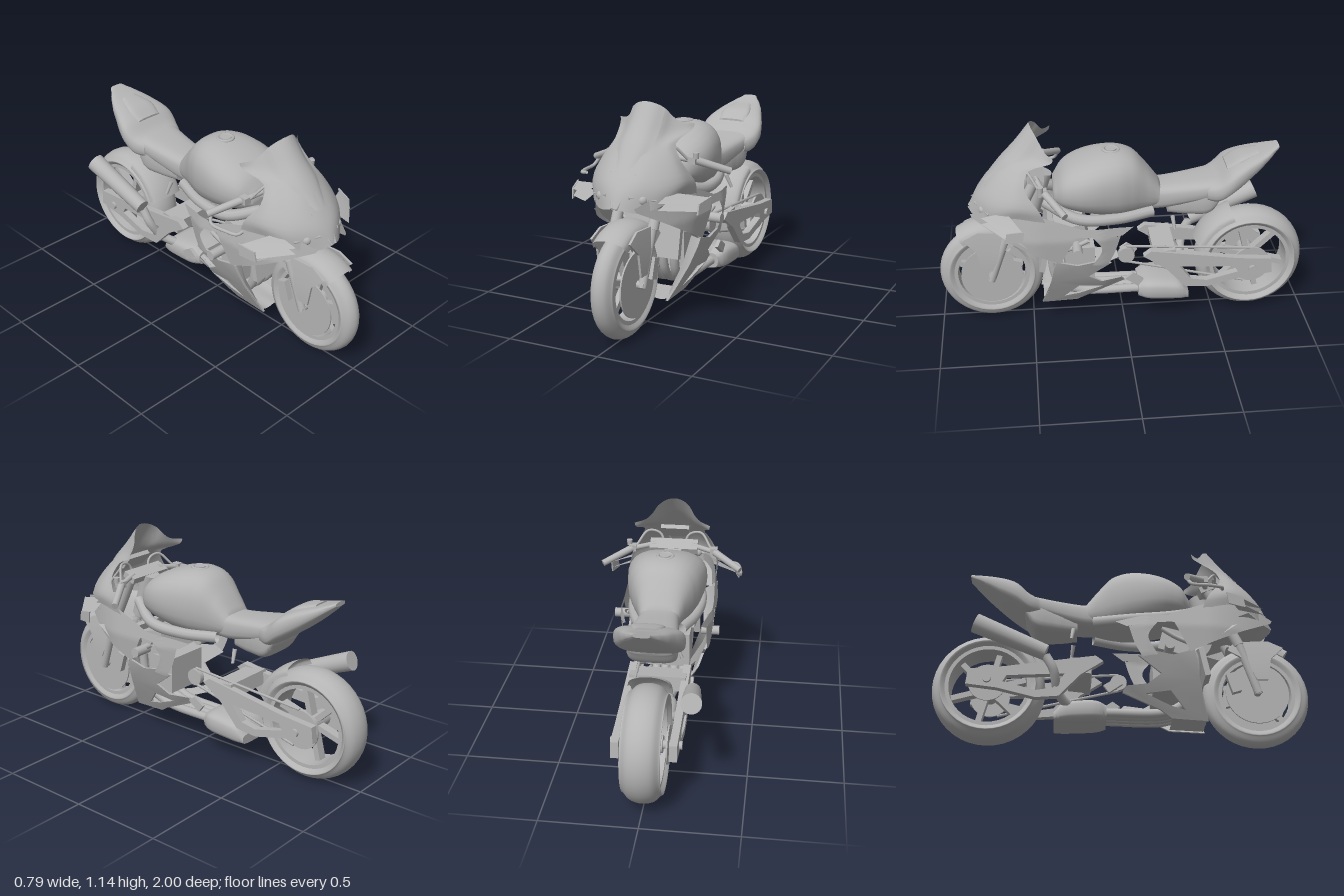
import * as THREE from 'three';
import { toCreasedNormals } from 'three/addons/utils/BufferGeometryUtils.js';

const V = (p) => new THREE.Vector3(...p);
const spline = (pts, n) => new THREE.CatmullRomCurve3(pts.map(V), false, 'centripetal').getPoints(n).map((p) => p.toArray());

// Surface through equal-length rows of points
function grid(rows, crease = 0.7) {
  const n = rows[0].length, idx = [];
  for (let i = 0; i < rows.length - 1; i++) for (let j = 0; j < n - 1; j++) {
    const a = i * n + j, c = a + n;
    idx.push(a, c, a + 1, a + 1, c, c + 1);
  }
  const g = new THREE.BufferGeometry();
  g.setAttribute('position', new THREE.Float32BufferAttribute(rows.flat(2), 3));
  g.setIndex(idx);
  return toCreasedNormals(g, crease);
}

// Closed body from sections [z, yBottom, yTop, halfWidth], listed front to back
function loft(sections, power = 0.75, n = 28) {
  const dense = spline(sections.map(([z, b, t]) => [z, b, t]), 28);
  const widths = spline(sections.map(([z, , , w]) => [z, w, 0]), 90);
  const widthAt = (z) => widths.reduce((m, p) => (Math.abs(p[0] - z) < Math.abs(m[0] - z) ? p : m))[1];
  const rows = dense.map(([z, b, t]) => Array.from({ length: n + 1 }, (_, k) => {
    const a = (k / n) * Math.PI * 2, c = Math.cos(a), s = Math.sin(a);
    return [widthAt(z) * Math.sign(c) * Math.abs(c) ** power, (b + t) / 2 + ((t - b) / 2) * Math.sign(s) * Math.abs(s) ** power, z];
  }));
  const cap = ([z, b, t]) => Array(n + 1).fill([0, (b + t) / 2, z]);
  return grid([cap(dense[0]), ...rows, cap(dense.at(-1))]);
}

// Surface symmetric about x = 0, from half rows running centre to side
function symmetric(half, nRow = 18, nCol = 20) {
  const full = half.map((r) => spline([...r.slice(1).reverse().map(([x, y, z]) => [-x, y, z]), ...r], nCol * 2));
  const cols = full[0].map((_, j) => spline(full.map((r) => r[j]), nRow));
  return grid(cols[0].map((_, i) => cols.map((c) => c[i])));
}

// Side plate with a [z, y] outline, bent to x = rule(y, z)
function plate(outline, rule, thick = 0.012, hole) {
  const pts = (o) => o.map(([z, y]) => new THREE.Vector2(-z, y));
  const shape = new THREE.Shape(pts(outline));
  if (hole) shape.holes.push(new THREE.Path(pts(hole)));
  const g = new THREE.ExtrudeGeometry(shape, { depth: thick, bevelEnabled: false });
  g.rotateY(Math.PI / 2);
  const p = g.attributes.position;
  for (let i = 0; i < p.count; i++) p.setX(i, p.getX(i) - thick + rule(p.getY(i), p.getZ(i)));
  return toCreasedNormals(g, 0.6);
}

function mirror(geo) {
  const g = geo.index ? geo.toNonIndexed() : geo.clone();
  for (const k of ['position', 'normal']) {
    const a = g.attributes[k], c = a.clone();
    for (let i = 0; i < a.count; i++) {
      const s = i % 3 === 0 ? i : i % 3 === 1 ? i + 1 : i - 1;
      a.setXYZ(i, -c.getX(s), c.getY(s), c.getZ(s));
    }
  }
  return g;
}

const tube = (pts, r, seg = 20) => new THREE.TubeGeometry(new THREE.CatmullRomCurve3(pts.map(V)), seg, r, 10);
const box = (w, h, d, x, y, z, rx = 0) => new THREE.BoxGeometry(w, h, d).rotateX(rx).translate(x, y, z);
const axle = (r, len, x, y, z, n = 28) => new THREE.CylinderGeometry(r, r, len, n).rotateZ(Math.PI / 2).translate(x, y, z);
// Cylinder between two points
function rod(a, b, r1, r2 = r1, n = 16) {
  const d = V(b).sub(V(a));
  const g = new THREE.CylinderGeometry(r2, r1, d.length(), n);
  g.applyQuaternion(new THREE.Quaternion().setFromUnitVectors(new THREE.Vector3(0, 1, 0), d.clone().normalize()));
  return g.translate(...V(a).addScaledVector(d, 0.5).toArray());
}

// Half width of the bodywork by height, narrowing toward the nose and the rear
function bodyX(y, z) {
  const t = [[0.08, 0.08], [0.2, 0.142], [0.3, 0.193], [0.42, 0.241], [0.58, 0.26], [0.68, 0.247], [0.8, 0.23]];
  const i = Math.max(1, t.findIndex(([h]) => h >= y));
  const k = (y - t[i - 1][0]) / (t[i][0] - t[i - 1][0]);
  const x = t[i - 1][1] + k * (t[i][1] - t[i - 1][1]);
  return x * (1 - 0.55 * (Math.max(0, z - 0.45) / 0.35) ** 1.5) - 0.3 * Math.max(0, 0.13 - z);
}

// Bodywork skin between an upper and a lower [z, y] edge
function skin(top, bottom, n = 20, m = 8) {
  const [a, b] = [top, bottom].map((e) => spline(e.map(([z, y]) => [z, y, 0]), n));
  return grid(Array.from({ length: m + 1 }, (_, i) => a.map(([z, y], j) => {
    const k = i / m, zz = z + (b[j][0] - z) * k, yy = y + (b[j][1] - y) * k;
    return [bodyX(yy, zz), yy, zz];
  })));
}

export function createModel() {
  const model = new THREE.Group();
  const grey = new THREE.MeshStandardMaterial({ color: 0xb4b4b4, side: THREE.DoubleSide });
  grey.name = 'plain grey';
  const add = (name, geo) => {
    const m = new THREE.Mesh(geo, grey);
    m.name = name;
    model.add(m);
  };
  const pair = (name, geo) => { add(name + 'Left', geo); add(name + 'Right', mirror(geo)); };

  // Wheels: tyre, rim, hub and spokes
  function wheel(name, y, z, r, inner, w) {
    const at = (g) => g.rotateZ(Math.PI / 2).translate(0, y, z);
    const prof = [[inner + 0.02, -w * 0.8], [inner + 0.045, -w], [r - 0.045, -w * 0.92], [r - 0.014, -w * 0.6], [r, 0]];
    const half = prof.concat(prof.slice(0, -1).reverse().map(([a, b]) => [a, -b]));
    const curve = spline(half.map(([a, b]) => [a, b, 0]), 28).map(([a, b]) => new THREE.Vector2(a, b));
    add(name + 'Tyre', at(new THREE.LatheGeometry(curve, 40)));
    const rw = w * 0.8;
    const rim = [[inner, -rw], [inner + 0.025, -rw], [inner + 0.025, rw], [inner, rw], [inner - 0.005, 0], [inner, -rw]];
    add(name + 'Rim', toCreasedNormals(at(new THREE.LatheGeometry(rim.map((p) => new THREE.Vector2(...p)), 40)), 0.6));
    add(name + 'Hub', axle(0.045, w * 1.7, 0, y, z));
    for (let i = 0; i < 6; i++) {
      const s = box(w * 0.5, inner, 0.03, 0, inner / 2 + 0.01, 0);
      add(name + 'Spoke', s.rotateX((i * Math.PI) / 3 + 0.25).translate(0, y, z));
    }
  }
  wheel('frontWheel', 0.283, 0.717, 0.283, 0.185, 0.06);
  wheel('rearWheel', 0.299, -0.701, 0.299, 0.205, 0.1);

  // Front brakes, fork and fender
  pair('brakeDisc', axle(0.168, 0.008, 0.065, 0.283, 0.717, 40));
  pair('brakeCaliper', box(0.035, 0.11, 0.05, 0.085, 0.33, 0.59, -0.3));
  pair('forkLower', rod([0.095, 0.27, 0.72], [0.105, 0.56, 0.62], 0.022));
  pair('forkUpper', rod([0.105, 0.54, 0.625], [0.105, 0.88, 0.46], 0.028));
  add('frontAxle', axle(0.02, 0.22, 0, 0.283, 0.717));
  const arcCover = (y, z, r, a0, a1, w, drop) => symmetric(Array.from({ length: 7 }, (_, i) => {
    const a = ((a0 + ((a1 - a0) * i) / 6) * Math.PI) / 180;
    return [[0, 0], [0.6, 0.15], [0.95, 0.5], [1, 1]].map(([u, d]) => [u * w, y + (r - d * drop) * Math.sin(a), z + (r - d * drop) * Math.cos(a)]);
  }), 14, 8);
  add('frontFender', arcCover(0.283, 0.717, 0.318, 118, 55, 0.09, 0.07));
  pair('fenderLeg', plate([[0.86, 0.53], [0.78, 0.57], [0.6, 0.56], [0.56, 0.51], [0.66, 0.45], [0.71, 0.34], [0.77, 0.34], [0.79, 0.46]],
    (y) => 0.12 - 0.15 * Math.max(0, y - 0.47)));

  // Nose fairing with a separate windscreen skin
  add('noseFairing', symmetric([
    [[0, 1.145, 0.48], [0.05, 1.135, 0.47], [0.09, 1.11, 0.45], [0.115, 1.075, 0.43], [0.15, 1.045, 0.41], [0.21, 1.035, 0.37]],
    [[0, 1.04, 0.56], [0.05, 1.035, 0.55], [0.09, 1.02, 0.52], [0.12, 1.005, 0.48], [0.17, 1.005, 0.42], [0.205, 1.01, 0.38]],
    [[0, 0.95, 0.64], [0.05, 0.95, 0.63], [0.09, 0.95, 0.6], [0.12, 0.95, 0.57], [0.15, 0.95, 0.54], [0.17, 0.95, 0.5]],
    [[0, 0.85, 0.72], [0.05, 0.855, 0.71], [0.1, 0.87, 0.68], [0.15, 0.88, 0.63], [0.195, 0.88, 0.57], [0.21, 0.87, 0.52]],
    [[0, 0.76, 0.785], [0.06, 0.77, 0.77], [0.12, 0.77, 0.74], [0.19, 0.77, 0.68], [0.245, 0.78, 0.58], [0.25, 0.76, 0.45]],
    [[0, 0.68, 0.82], [0.05, 0.67, 0.805], [0.11, 0.66, 0.765], [0.18, 0.68, 0.7], [0.23, 0.72, 0.6], [0.245, 0.69, 0.42]],
  ]));
  add('windscreen', symmetric([
    [[0, 1.145, 0.486], [0.05, 1.135, 0.476], [0.09, 1.11, 0.456]],
    [[0, 1.04, 0.567], [0.05, 1.035, 0.557], [0.095, 1.02, 0.524]],
    [[0, 0.95, 0.647], [0.05, 0.95, 0.637], [0.092, 0.95, 0.605]],
    [[0, 0.84, 0.735], [0.02, 0.842, 0.733], [0.04, 0.85, 0.722]],
  ], 12, 8));
  add('noseUnderside', symmetric([
    [[0, 0.68, 0.82], [0.11, 0.66, 0.765], [0.2, 0.69, 0.67]],
    [[0, 0.64, 0.7], [0.11, 0.64, 0.66], [0.21, 0.65, 0.58]],
    [[0, 0.62, 0.5], [0.11, 0.62, 0.5], [0.22, 0.62, 0.48]],
  ], 8, 8));
  pair('headlight', new THREE.SphereGeometry(0.026, 16, 12).translate(0.112, 0.718, 0.737));
  pair('headlightBrow', rod([0.06, 0.735, 0.78], [0.17, 0.715, 0.71], 0.008, 0.006, 8));
  pair('noseRib', rod([0.012, 0.68, 0.817], [0.065, 0.835, 0.717], 0.008, 0.006, 8));

  // Winglets with end plates
  const wing = (dy) => grid([[[0.2, 0.74 + dy, 0.62], [0.37, 0.715 + dy, 0.54]], [[0.2, 0.715 + dy, 0.75], [0.35, 0.695 + dy, 0.62]]]);
  pair('wingletUpper', wing(0));
  pair('wingletLower', wing(-0.035));
  pair('wingletEnd', plate([[0.53, 0.72], [0.62, 0.7], [0.63, 0.645], [0.54, 0.655]], (y, z) => 0.375 - (z - 0.54) * 0.25, 0.008));

  // Side fairings and lower fairings
  pair('sideFairing', skin([[0.81, 0.69], [0.68, 0.735], [0.55, 0.75], [0.38, 0.7], [0.24, 0.648]],
    [[0.8, 0.67], [0.7, 0.615], [0.58, 0.55], [0.46, 0.49], [0.35, 0.44]], 24, 10));
  pair('sideFairingTail', skin([[0.4, 0.7], [0.25, 0.648], [0.1, 0.64], [-0.04, 0.622]], [[0.4, 0.59], [0.27, 0.6], [0.15, 0.595], [0.02, 0.585]]));
  pair('fairingArm', skin([[0.18, 0.6], [0.13, 0.52], [0.18, 0.42]], [[0.03, 0.585], [0.06, 0.49], [0.1, 0.41]], 12, 4));
  pair('lowerFairing', plate([[0.37, 0.45], [0.385, 0.4], [0.4, 0.3], [0.42, 0.2], [0.45, 0.11], [0.26, 0.12], [0.2, 0.16], [0.0, 0.25], [0.02, 0.28], [0.13, 0.28],
    [0.2, 0.33], [0.08, 0.42], [0.16, 0.44], [0.26, 0.42]], bodyX, 0.014, [[0.25, 0.25], [0.12, 0.235], [0.25, 0.18], [0.33, 0.16]]));
  pair('fairingInnerEdge', grid([[[0.245, 0.6, 0.6], [0.175, 0.6, 0.48]], [[0.243, 0.44, 0.37], [0.185, 0.45, 0.36]],
    [[0.193, 0.3, 0.4], [0.135, 0.3, 0.35]], [[0.095, 0.11, 0.45], [0.06, 0.13, 0.36]]]));
  add('bellyPan', symmetric([[[0, 0.115, 0.44], [0.05, 0.11, 0.44], [0.09, 0.12, 0.44]], [[0, 0.12, 0.26], [0.06, 0.12, 0.26], [0.095, 0.13, 0.26]]], 4, 6));
  pair('fairingStrut', tube([[0.22, 0.5, 0.34], [0.225, 0.53, 0.27], [0.235, 0.57, 0.2]], 0.012));

  // Tank, seat and tail
  add('fuelTank', loft([[0.37, 0.72, 0.82, 0.11], [0.31, 0.69, 0.9, 0.18], [0.2, 0.66, 0.955, 0.215], [0.05, 0.63, 0.983, 0.2],
    [-0.05, 0.63, 0.96, 0.165], [-0.12, 0.64, 0.89, 0.13], [-0.2, 0.66, 0.785, 0.1]], 0.8));
  add('fuelCap', new THREE.TorusGeometry(0.04, 0.01, 8, 24).rotateX(Math.PI / 2 - 0.05).translate(0, 0.977, 0.06));
  add('fuelCapCentre', new THREE.CylinderGeometry(0.03, 0.03, 0.012, 20).translate(0, 0.98, 0.06));
  add('seat', loft([[-0.12, 0.65, 0.79, 0.1], [-0.2, 0.65, 0.785, 0.105], [-0.35, 0.68, 0.8, 0.12], [-0.5, 0.72, 0.82, 0.14]], 0.6));
  add('tail', loft([[-0.44, 0.7, 0.8, 0.135], [-0.5, 0.7, 0.825, 0.165], [-0.57, 0.745, 0.885, 0.178], [-0.66, 0.81, 0.925, 0.145],
    [-0.75, 0.885, 0.95, 0.1], [-0.83, 0.955, 0.978, 0.04]], 0.6));
  add('undertail', loft([[-0.24, 0.615, 0.74, 0.08], [-0.35, 0.61, 0.77, 0.11], [-0.46, 0.62, 0.8, 0.13], [-0.52, 0.7, 0.81, 0.12]], 0.5));
  add('pillionPad', loft([[-0.55, 0.83, 0.88, 0.08], [-0.62, 0.87, 0.925, 0.085], [-0.72, 0.9, 0.95, 0.055]], 0.6));

  // Handlebars and cockpit
  pair('grip', rod([0.235, 0.86, 0.42], [0.385, 0.8, 0.325], 0.02, 0.018));
  pair('clipOn', rod([0.1, 0.88, 0.46], [0.25, 0.855, 0.42], 0.014));
  pair('switchgear', box(0.04, 0.035, 0.045, 0.23, 0.862, 0.43));
  add('leverGuard', tube([[-0.36, 0.8, 0.33], [-0.385, 0.76, 0.35], [-0.38, 0.755, 0.45], [-0.36, 0.755, 0.51], [-0.33, 0.76, 0.515]], 0.009));
  add('fluidCup', new THREE.CylinderGeometry(0.016, 0.014, 0.03, 14).translate(0.25, 0.888, 0.44));
  pair('cable', tube([[0.21, 0.87, 0.45], [0.15, 0.94, 0.5], [0.08, 0.92, 0.51], [0.05, 0.8, 0.48]], 0.007));
  add('tripleClamp', box(0.27, 0.035, 0.08, 0, 0.87, 0.46, -0.4));
  add('dashboard', box(0.16, 0.09, 0.025, 0, 0.93, 0.54, -0.7));
  add('headstock', rod([0, 0.62, 0.5], [0, 0.87, 0.42], 0.05));

  // Engine, radiator and header pipes
  add('cylinderHead', box(0.3, 0.13, 0.16, 0, 0.54, 0.28, 0.25));
  add('crankcase', box(0.25, 0.2, 0.16, 0, 0.36, 0.24));
  add('radiator', box(0.32, 0.28, 0.03, 0, 0.48, 0.42, -0.2));
  for (const x of [-0.105, -0.035, 0.035, 0.105]) {
    add('headerPipe', tube([[x, 0.53, 0.36], [x, 0.44, 0.39], [x * 0.9, 0.25, 0.36], [x * 0.7, 0.17, 0.25], [x * 0.6 + 0.03, 0.17, -0.1]], 0.024, 24));
  }
  pair('frameSpar', tube([[0.1, 0.74, 0.42], [0.18, 0.67, 0.25], [0.17, 0.655, 0.05], [0.11, 0.66, -0.15]], 0.03));
  add('sliderLeft', axle(0.026, 0.1, 0.26, 0.53, 0.26, 16));
  add('sliderRight', axle(0.026, 0.1, -0.235, 0.46, 0.24, 16));

  // Exhaust collector, link pipe and silencer
  const collector = loft([[-0.08, 0.125, 0.215, 0.1], [-0.13, 0.115, 0.235, 0.125], [-0.25, 0.108, 0.23, 0.13], [-0.31, 0.105, 0.215, 0.125], [-0.355, 0.108, 0.165, 0.11]], 0.55);
  add('collector', collector.translate(0.035, 0, 0));
  add('linkPipe', tube([[-0.04, 0.18, -0.25], [-0.12, 0.24, -0.33], [-0.185, 0.35, -0.36], [-0.195, 0.42, -0.4]], 0.025));
  add('silencer', rod([-0.2, 0.435, -0.4], [-0.228, 0.585, -0.77], 0.042, 0.052, 20));

  // Swingarm, chain drive and rear hugger
  pair('swingarm', plate([[-0.1, 0.41], [-0.14, 0.44], [-0.35, 0.41], [-0.62, 0.37], [-0.8, 0.355], [-0.81, 0.27], [-0.65, 0.25], [-0.45, 0.2],
    [-0.33, 0.21], [-0.22, 0.33]], () => 0.165, 0.04, [[-0.3, 0.335], [-0.36, 0.255], [-0.45, 0.24], [-0.62, 0.285], [-0.6, 0.32]]));
  add('swingarmBridge', box(0.3, 0.08, 0.12, 0, 0.39, -0.22, 0.1));
  add('rearAxle', axle(0.022, 0.36, 0, 0.299, -0.701));
  add('rearSprocket', axle(0.105, 0.012, 0.112, 0.299, -0.701, 36));
  add('rearDisc', axle(0.1, 0.008, -0.112, 0.299, -0.701, 36));
  add('frontSprocket', axle(0.045, 0.03, 0.12, 0.405, -0.01, 20));
  add('chainTop', rod([0.115, 0.452, -0.01], [0.115, 0.405, -0.69], 0.008, 0.008, 6));
  add('chainBottom', rod([0.115, 0.358, -0.01], [0.115, 0.2, -0.66], 0.008, 0.008, 6));
  add('rearHugger', arcCover(0.299, -0.701, 0.33, 70, 22, 0.105, 0.05));

  // Footrest brackets and pillion pegs
  pair('footrestBracket', plate([[0.0, 0.28], [-0.04, 0.31], [-0.1, 0.27], [-0.07, 0.23]], () => 0.17, 0.02));
  pair('pillionPeg', rod([0.1, 0.62, -0.26], [0.13, 0.55, -0.27], 0.012, 0.008, 10));
  return model;
}
